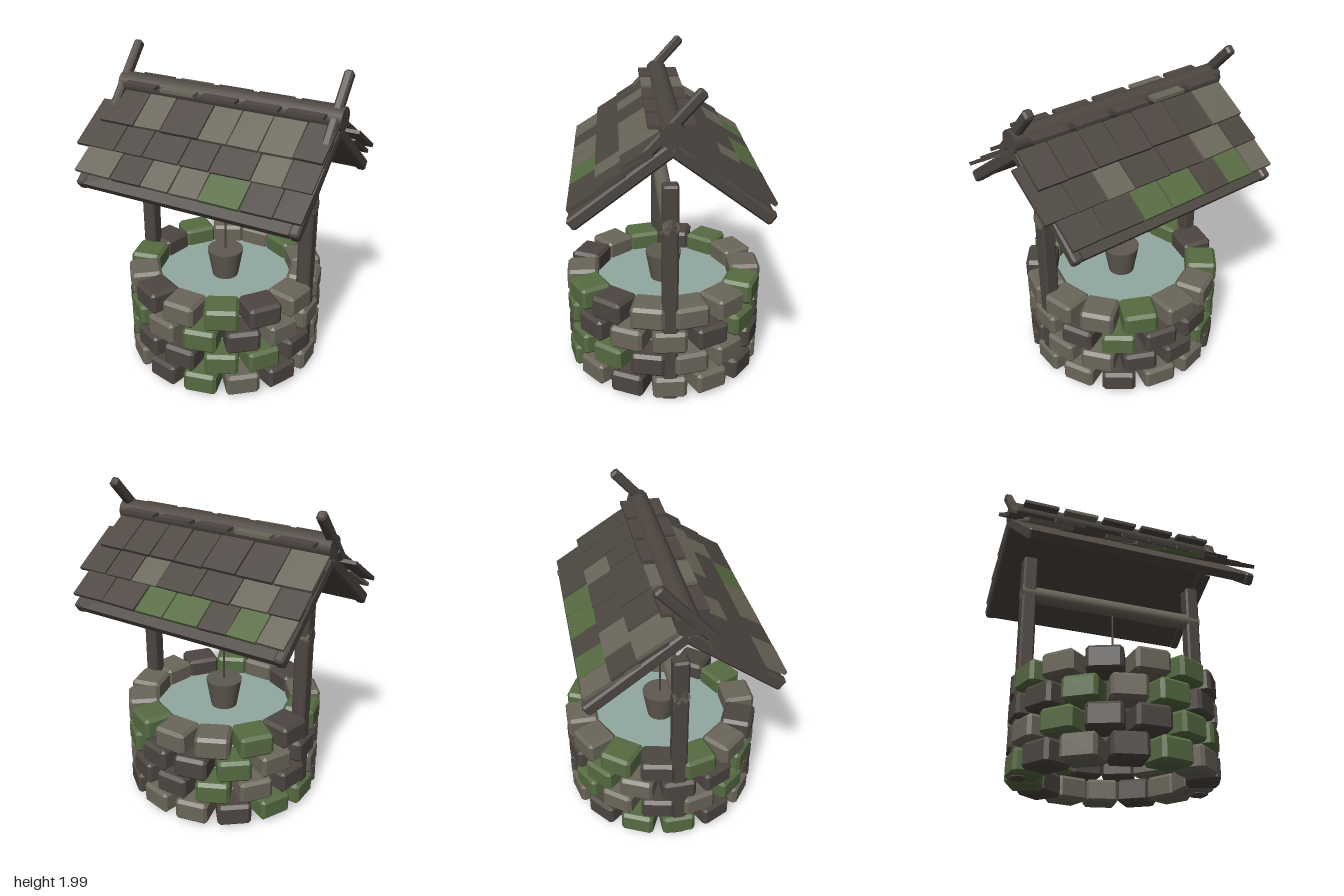
import * as THREE from 'three';
import { ConvexGeometry } from 'three/addons/geometries/ConvexGeometry.js';

const paint = (name, color) => {
  const m = new THREE.MeshStandardMaterial({ color });
  m.name = name;
  return m;
};

// Box with all edges and corners cut by c
function chamferBox(w, h, d, c) {
  const points = [];
  for (const x of [-1, 1]) for (const y of [-1, 1]) for (const z of [-1, 1]) {
    points.push(
      new THREE.Vector3(x * w / 2, y * (h / 2 - c), z * (d / 2 - c)),
      new THREE.Vector3(x * (w / 2 - c), y * h / 2, z * (d / 2 - c)),
      new THREE.Vector3(x * (w / 2 - c), y * (h / 2 - c), z * d / 2));
  }
  return new ConvexGeometry(points);
}

export function createModel() {
  const model = new THREE.Group();
  model.name = 'well';

  const wood = paint('darkWood', 0x4d4641);
  const grey = paint('paleGrey', 0x6b665a);
  const moss = paint('mossGreen', 0x566b42);
  const bucketGrey = paint('bucketGrey', 0x5f5950);
  const water = paint('water', 0x90a8a1);
  water.side = THREE.DoubleSide;

  let seed = 7;
  const rand = () => (seed = (seed * 16807) % 2147483647) / 2147483647;

  const add = (parent, name, geometry, material, x, y, z) => {
    const mesh = new THREE.Mesh(geometry, material);
    mesh.name = name;
    mesh.position.set(x, y, z);
    parent.add(mesh);
    return mesh;
  };
  const group = (name) => {
    const g = new THREE.Group();
    g.name = name;
    model.add(g);
    return g;
  };

  // Stone wall: four courses of fourteen blocks, every other course shifted half a block
  const wall = group('stoneWall');
  const block = chamferBox(0.212, 0.147, 0.2, 0.02);
  const mossy = [[0, 9, 10], [1, 2, 8, 12], [0, 5, 8, 12], [1, 6, 9, 11]];
  mossy.forEach((mossyBlocks, row) => {
    for (let k = 0; k < 14; k++) {
      const a = (k + (row % 2 ? 0 : 0.5)) * Math.PI * 2 / 14;
      const mat = mossyBlocks.includes(k) ? moss : rand() < 0.6 ? grey : wood;
      const stone = add(wall, 'stoneBlock', block, mat,
        Math.sin(a) * 0.53, 0.09 + row * 0.163, Math.cos(a) * 0.53);
      stone.rotation.y = a;
    }
  });

  // Water surface
  const surface = add(model, 'waterSurface', new THREE.CircleGeometry(0.46, 40), water, 0, 0.54, 0);
  surface.rotation.x = -Math.PI / 2;

  // Posts, axle, rope and bucket
  const post = chamferBox(0.09, 1.43, 0.095, 0.012);
  for (const s of [-1, 1]) add(model, 'post', post, wood, s * 0.57, 0.715, 0);
  const axle = add(model, 'axle', new THREE.CylinderGeometry(0.051, 0.051, 1.23, 12), grey, 0, 1.183, 0);
  axle.rotation.z = Math.PI / 2;
  add(model, 'rope', new THREE.CylinderGeometry(0.006, 0.006, 0.46, 8), wood, 0, 0.94, 0);
  add(model, 'bucket', new THREE.CylinderGeometry(0.118, 0.085, 0.19, 20), bucketGrey, 0, 0.635, 0);

  // Roof slopes: x edges and colours of the shingles, from the eave up
  const roof = group('roof');
  const slope = 0.647;
  const shades = { D: wood, L: grey, G: moss };
  const rows = [
    { z: 0.56, y: 1.345, length: 0.36 },
    { z: 0.41, y: 1.455, length: 0.36 },
    { z: 0.27, y: 1.575, length: 0.27 },
  ];
  const sides = [
    { s: 1, shingles: [
      ['LDLLGDD', [-0.73, -0.47, -0.26, -0.07, 0.12, 0.38, 0.58, 0.75]],
      ['DDDDDLD', [-0.82, -0.54, -0.34, -0.09, 0.11, 0.37, 0.56, 0.74]],
      ['DLDLLLD', [-0.74, -0.49, -0.30, -0.04, 0.15, 0.35, 0.56, 0.74]],
    ] },
    { s: -1, shingles: [
      ['LGDGGDD', [-0.73, -0.56, -0.37, -0.18, 0.06, 0.26, 0.51, 0.74]],
      ['DLDDLDD', [-0.73, -0.54, -0.30, -0.05, 0.21, 0.40, 0.60, 0.81]],
      ['LDDDDDD', [-0.73, -0.49, -0.25, -0.02, 0.18, 0.36, 0.56, 0.75]],
    ] },
  ];
  const rafter = chamferBox(0.06, 0.075, 0.7, 0.012);
  const board = new THREE.BoxGeometry(1.35, 0.05, 0.69);
  for (const { s, shingles } of sides) {
    add(roof, 'roofBoard', board, wood, 0, 1.4725, s * 0.275).rotation.x = s * slope;
    for (const x of [-0.695, 0.705]) {
      add(roof, 'rafter', rafter, wood, x, 1.4725, s * 0.275).rotation.x = s * slope;
    }
    shingles.forEach(([colours, edges], r) => {
      const { z, y, length } = rows[r];
      const tilt = 0.56;
      for (let i = 0; i < colours.length; i++) {
        const tile = add(roof, 'shingle',
          new THREE.BoxGeometry(edges[i + 1] - edges[i] - 0.008, 0.022, length),
          shades[colours[i]], (edges[i] + edges[i + 1]) / 2,
          y + 0.01 + length / 2 * Math.sin(tilt) + (rand() - 0.5) * 0.006,
          s * (z - length / 2 * Math.cos(tilt)));
        tile.rotation.set(s * tilt, (rand() - 0.5) * 0.04, 0);
      }
    });
  }

  // Ridge log with flat caps
  const log = add(roof, 'ridgeLog', new THREE.CylinderGeometry(0.07, 0.07, 1.48, 12), wood, 0.012, 1.76, 0);
  log.rotation.z = Math.PI / 2;
  const cap = new THREE.BoxGeometry(0.228, 0.02, 0.255);
  for (let i = 0; i < 5; i++) {
    add(roof, 'ridgeCap', cap, i === 1 ? grey : wood, 0.008 + (i - 2) * 0.273, 1.785, 0);
  }

  // Leaning poles at both ends of the ridge
  const pole = chamferBox(0.055, 0.48, 0.06, 0.012);
  for (const s of [-1, 1]) {
    add(roof, 'ridgePole', pole, wood, s * 0.706, 1.805, 0).rotation.x = -0.74;
  }

  return model;
}
